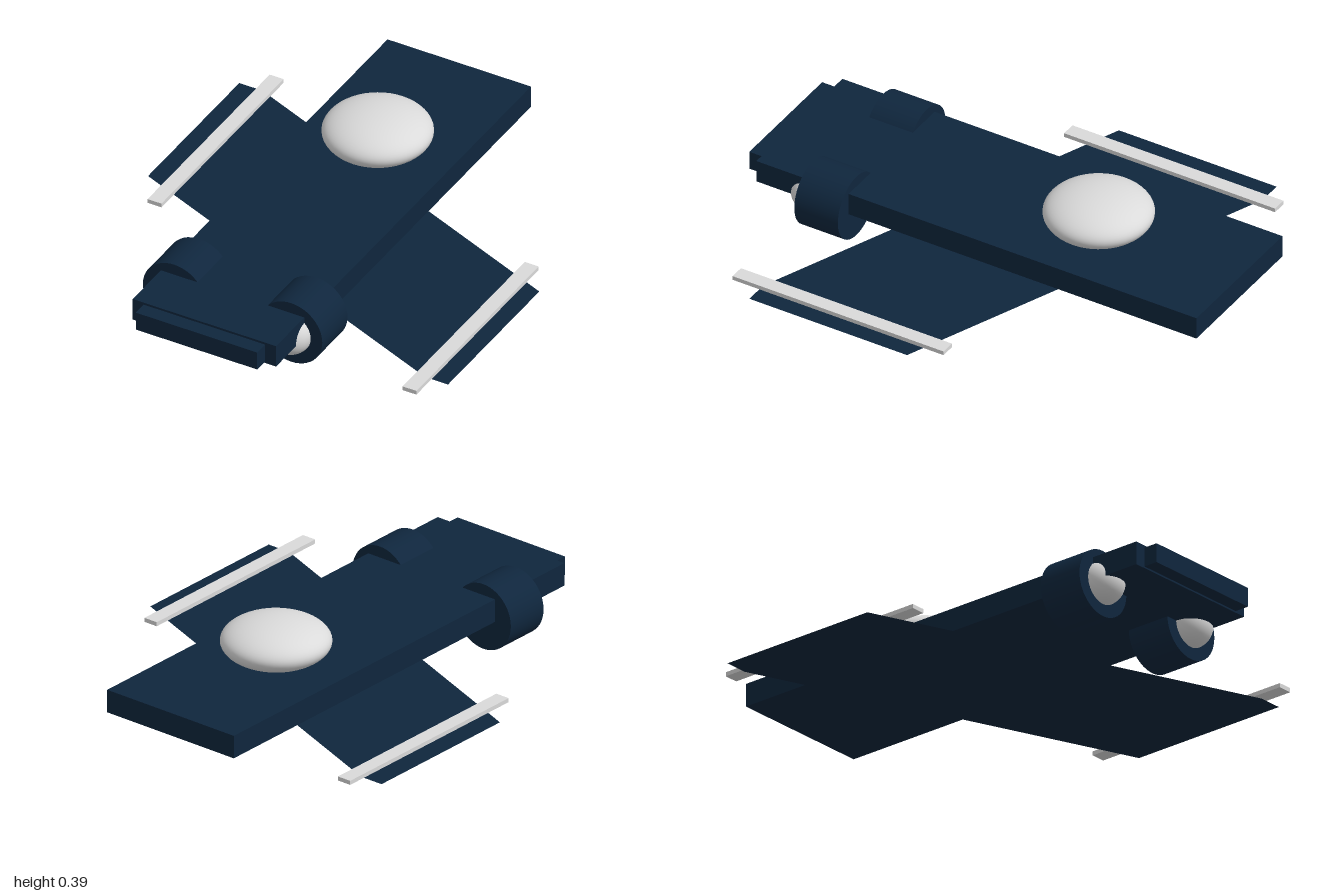
import * as THREE from 'three';

export function createModel() {
  const model = new THREE.Group();
  model.name = 'spacecraft';

  const navy = new THREE.MeshStandardMaterial({ color: 0x0f263d });
  navy.name = 'navy hull';
  const navySheet = new THREE.MeshStandardMaterial({ color: 0x0f263d, side: THREE.DoubleSide });
  navySheet.name = 'navy wing sheet';
  const paleGrey = new THREE.MeshStandardMaterial({ color: 0xdadada });
  paleGrey.name = 'pale grey';

  function add(name, geometry, material, x, y, z) {
    const mesh = new THREE.Mesh(geometry, material);
    mesh.name = name;
    mesh.position.set(x, y, z);
    model.add(mesh);
    return mesh;
  }

  // Flat hull slab with a slightly smaller nose block; the hull sits off-centre
  const hullX = -0.05;
  add('hull', new THREE.BoxGeometry(0.62, 0.094, 1.94), navy, hullX, 0.178, -0.03);
  add('nose', new THREE.BoxGeometry(0.525, 0.078, 0.06), navy, hullX, 0.177, 0.97);

  // Flattened dome on the rear deck
  const dome = add('dome', new THREE.SphereGeometry(0.212, 48, 32), paleGrey, hullX, 0.298, -0.38);
  dome.scale.y = 0.42;

  // Engine drums with a glowing ball set in each front face
  for (const side of [-1, 1]) {
    const x = hullX + side * 0.253;
    const label = side > 0 ? 'left' : 'right';
    const drum = new THREE.CylinderGeometry(0.135, 0.135, 0.192, 48).rotateX(Math.PI / 2);
    add(label + 'Engine', drum, navy, x, 0.136, 0.629);
    add(label + 'EngineBall', new THREE.SphereGeometry(0.085, 32, 24), paleGrey, x, 0.136, 0.725);
  }

  // Thin skewed wing passing beneath the hull (shape drawn in x, -z)
  const outline = [
    [-0.825, 0.005], [0.725, 0.625], [0.825, 0.625],
    [0.825, -0.07], [-0.725, -0.69], [-0.825, -0.69],
  ];
  const shape = new THREE.Shape(outline.map(([x, z]) => new THREE.Vector2(x, -z)));
  add('wing', new THREE.ShapeGeometry(shape).rotateX(-Math.PI / 2), navySheet, 0, 0.052, 0);

  // Wing-tip rails, following the skew of the wing
  const rail = new THREE.BoxGeometry(0.06, 0.017, 0.93);
  add('leftRail', rail, paleGrey, 0.725, 0.0615, 0.277);
  add('rightRail', rail, paleGrey, -0.71, 0.0615, -0.307);

  return model;
}
